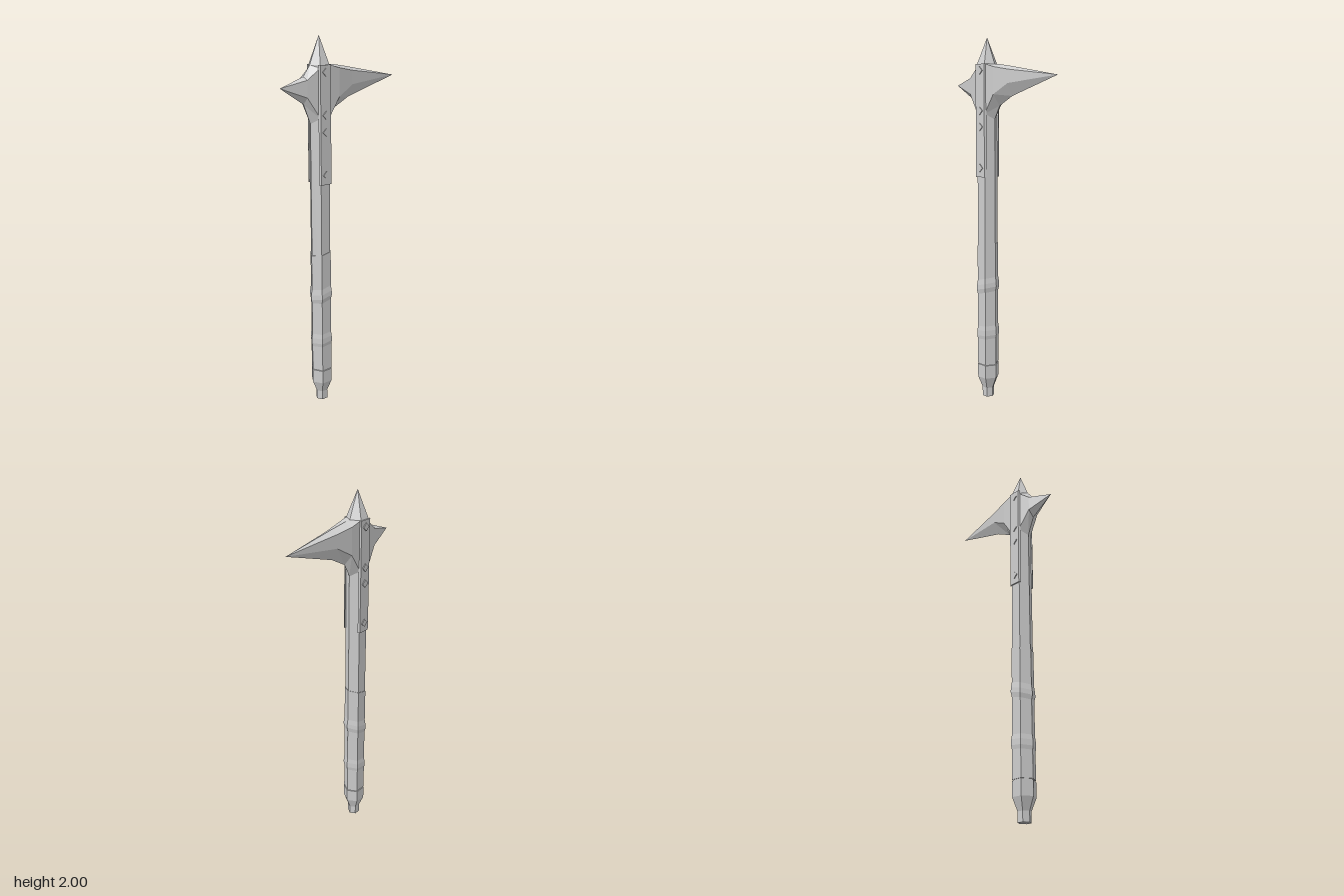
import * as THREE from 'three';

const CX = -0.129; // shaft axis
const mat = new THREE.MeshStandardMaterial({ color: 0xcccccc, flatShading: true, side: THREE.DoubleSide });

function add(group, name, geometry, x = 0, y = 0, z = 0) {
  const mesh = new THREE.Mesh(geometry, mat);
  mesh.name = name;
  mesh.position.set(x, y, z);
  group.add(mesh);
  return mesh;
}

// Six-sided turned part, corners on the x axis; each row is [radius, y, slant]
function hexTurned(rows) {
  const geo = new THREE.LatheGeometry(rows.map(([r, y]) => new THREE.Vector2(r, y)), 6, Math.PI / 2);
  const pos = geo.attributes.position;
  for (let i = 0; i < pos.count; i++) {
    const slant = rows[i % rows.length][2] || 0;
    pos.setY(i, pos.getY(i) + slant * pos.getX(i));
  }
  geo.computeVertexNormals();
  return geo;
}

// Loft of six-point sections: [ridge x, face x, top, upper, lower, bottom, half depth]
function prong(sections, flip) {
  const verts = [], index = [];
  for (const [xr, xf, top, up, low, bot, w] of sections) {
    verts.push(xr, top, 0, xf, up, w, xf, low, w, xr, bot, 0, xf, low, -w, xf, up, -w);
  }
  for (let s = 0; s < sections.length - 1; s++) {
    for (let i = 0; i < 6; i++) {
      const a = s * 6 + i, b = s * 6 + (i + 1) % 6, c = b + 6, d = a + 6;
      if (flip) index.push(a, c, b, a, d, c);
      else index.push(a, b, c, a, c, d);
    }
  }
  const geo = new THREE.BufferGeometry();
  geo.setAttribute('position', new THREE.Float32BufferAttribute(verts, 3));
  geo.setIndex(index);
  geo.computeVertexNormals();
  return geo;
}

// Thin plate with bevelled long edges, lying on z = 0
function plateGeometry(height) {
  const geo = new THREE.BoxGeometry(0.064, height, 0.01);
  const pos = geo.attributes.position;
  for (let i = 0; i < pos.count; i++) {
    if (pos.getZ(i) < 0) pos.setX(i, pos.getX(i) * 1.2);
  }
  geo.computeVertexNormals();
  return geo;
}

export function createModel() {
  const model = new THREE.Group();
  model.name = 'warPick';

  // Handle
  add(model, 'shaft', hexTurned([[0.056, 0.15], [0.056, 1.86]]), CX);
  add(model, 'topSpike', hexTurned([[0.056, 1.86], [0, 2]]), CX);
  add(model, 'grip', hexTurned([
    [0.054, 0.2], [0.06, 0.2], [0.06, 0.345, 0.1], [0.064, 0.365, 0.1], [0.063, 0.395, 0.1], [0.059, 0.42, 0.1],
    [0.059, 0.61, 0.25], [0.065, 0.635, 0.25], [0.064, 0.66, 0.25], [0.059, 0.69, 0.25],
    [0.059, 0.883, 0.22], [0.054, 0.883, 0.22],
  ]), CX);
  add(model, 'pommel', hexTurned([
    [0, 0], [0.034, 0], [0.034, 0.052], [0.06, 0.117], [0.061, 0.193], [0.05, 0.195],
  ]), CX);

  // Head
  add(model, 'longProng', prong([
    [-0.073, -0.101, 1.86, 1.86, 1.6, 1.57, 0.0485],
    [-0.037, -0.037, 1.857, 1.842, 1.7, 1.64, 0.048],
    [0.055, 0.055, 1.842, 1.825, 1.755, 1.69, 0.036],
    [0.36, 0.36, 1.786, 1.786, 1.786, 1.786, 0],
  ], false));
  add(model, 'shortProng', prong([
    [-0.185, -0.157, 1.86, 1.845, 1.6, 1.57, 0.0485],
    [-0.225, -0.225, 1.805, 1.79, 1.705, 1.67, 0.035],
    [-0.362, -0.362, 1.756, 1.756, 1.756, 1.756, 0],
  ], true));

  // Riveted plates on the front and back
  for (const [side, turn] of [['front', 0], ['back', Math.PI]]) {
    const strap = new THREE.Group();
    strap.name = side + 'Strap';
    add(strap, 'plate', plateGeometry(0.6), 0, 1.56, 0.051);
    for (const y of [1.825, 1.615, 1.53, 1.31]) {
      const rivet = add(strap, 'rivet', new THREE.CylinderGeometry(0.021, 0.021, 0.012, 4), 0, y, 0.055);
      rivet.rotation.x = Math.PI / 2;
    }
    strap.position.x = CX;
    strap.rotation.y = turn;
    model.add(strap);
  }
  return model;
}
